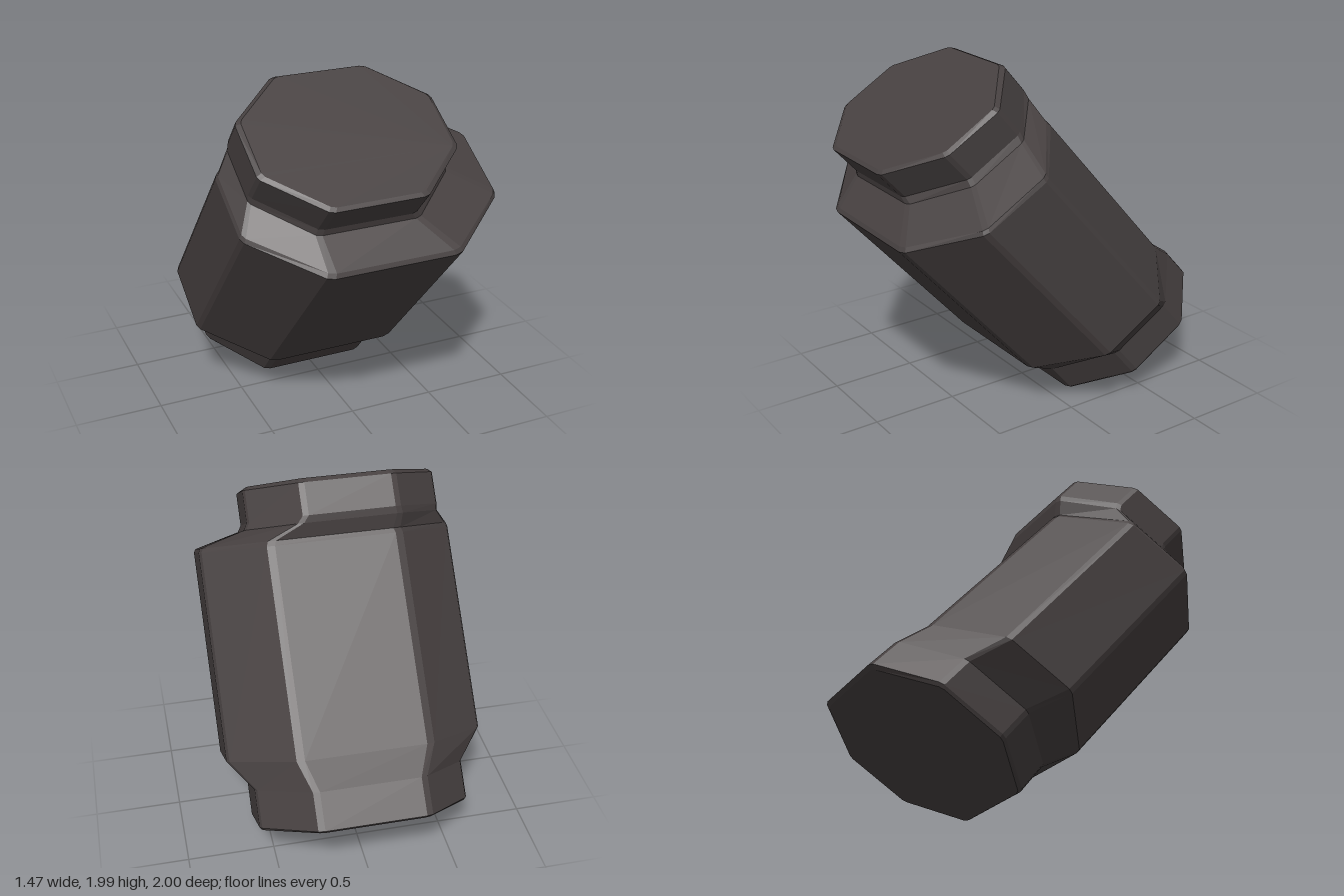
import * as THREE from 'three';

// Chamfered octagon lying in a tilted plane.
// xc: centre x, hw: half width, fw: half width of the front and back edges,
// zf,yf: front edge position, zb,yb: back edge position.
function ring([xc, hw, fw, zf, yf, zb, yb]) {
  const corners = [
    [hw, 0.3], [hw, 0.7], [fw, 1], [-fw, 1],
    [-hw, 0.7], [-hw, 0.3], [-fw, 0], [fw, 0],
  ];
  const place = ([u, t]) => new THREE.Vector3(
    xc + u, THREE.MathUtils.lerp(yf, yb, t), THREE.MathUtils.lerp(zf, zb, t));
  const pts = corners.map(place);
  const out = [];
  const n = pts.length;
  for (let i = 0; i < n; i++) {
    out.push(pts[i].clone().lerp(pts[(i + n - 1) % n], 0.04));
    out.push(pts[i].clone().lerp(pts[(i + 1) % n], 0.04));
  }
  return out;
}

// Skin between rings ordered bottom to top, with optional end faces.
function loft(sections, closeBottom, closeTop) {
  const rings = sections.map(ring);
  const pos = [];
  const tri = (...p) => p.forEach((v) => pos.push(v.x, v.y, v.z));
  for (let k = 0; k < rings.length - 1; k++) {
    const lo = rings[k], hi = rings[k + 1];
    for (let i = 0; i < lo.length; i++) {
      const j = (i + 1) % lo.length;
      tri(lo[i], lo[j], hi[j]);
      tri(lo[i], hi[j], hi[i]);
    }
  }
  const first = rings[0], last = rings[rings.length - 1];
  for (let i = 1; i < first.length - 1; i++) {
    if (closeBottom) tri(first[0], first[i + 1], first[i]);
    if (closeTop) tri(last[0], last[i], last[i + 1]);
  }
  const g = new THREE.BufferGeometry();
  g.setAttribute('position', new THREE.Float32BufferAttribute(pos, 3));
  g.computeVertexNormals();
  return g;
}

export function createModel() {
  const group = new THREE.Group();
  group.name = 'slantedCanister';
  const darkBrown = new THREE.MeshStandardMaterial({ color: 0x464040 });
  darkBrown.name = 'darkBrown';

  // Shared cross-sections, bottom to top
  const base = [0.01, 0.585, 0.295, -0.13, 0.0, -0.985, 0.52];
  const baseRim = [0.01, 0.595, 0.305, -0.11, 0.012, -1.0, 0.545];
  const footTop = [0.01, 0.595, 0.305, 0.02, 0.17, -0.86, 0.7];
  const bodyLow = [0, 0.735, 0.37, 0.2, 0.26, -0.71, 0.8];
  const bodyHigh = [0, 0.735, 0.37, 1.0, 1.165, 0.07, 1.69];
  const shoulderRim = [0, 0.725, 0.36, 0.99, 1.19, 0.09, 1.71];
  const neckLow = [-0.09, 0.565, 0.285, 0.86, 1.345, 0.09, 1.8];
  const neckHigh = [-0.1, 0.555, 0.265, 0.87, 1.38, 0.1, 1.84];
  const lidRim = [-0.1, 0.555, 0.265, 1.0, 1.525, 0.22, 1.98];
  const lidTop = [-0.1, 0.53, 0.25, 0.985, 1.545, 0.25, 1.99];

  const add = (name, sections, bottom = false, top = false) => {
    const mesh = new THREE.Mesh(loft(sections, bottom, top), darkBrown);
    mesh.name = name;
    group.add(mesh);
  };
  add('foot', [base, baseRim, footTop], true);
  add('lowerTaper', [footTop, bodyLow]);
  add('body', [bodyLow, bodyHigh]);
  add('shoulder', [bodyHigh, shoulderRim, neckLow]);
  add('neck', [neckLow, neckHigh]);
  add('lid', [neckHigh, lidRim, lidTop], false, true);
  return group;
}
